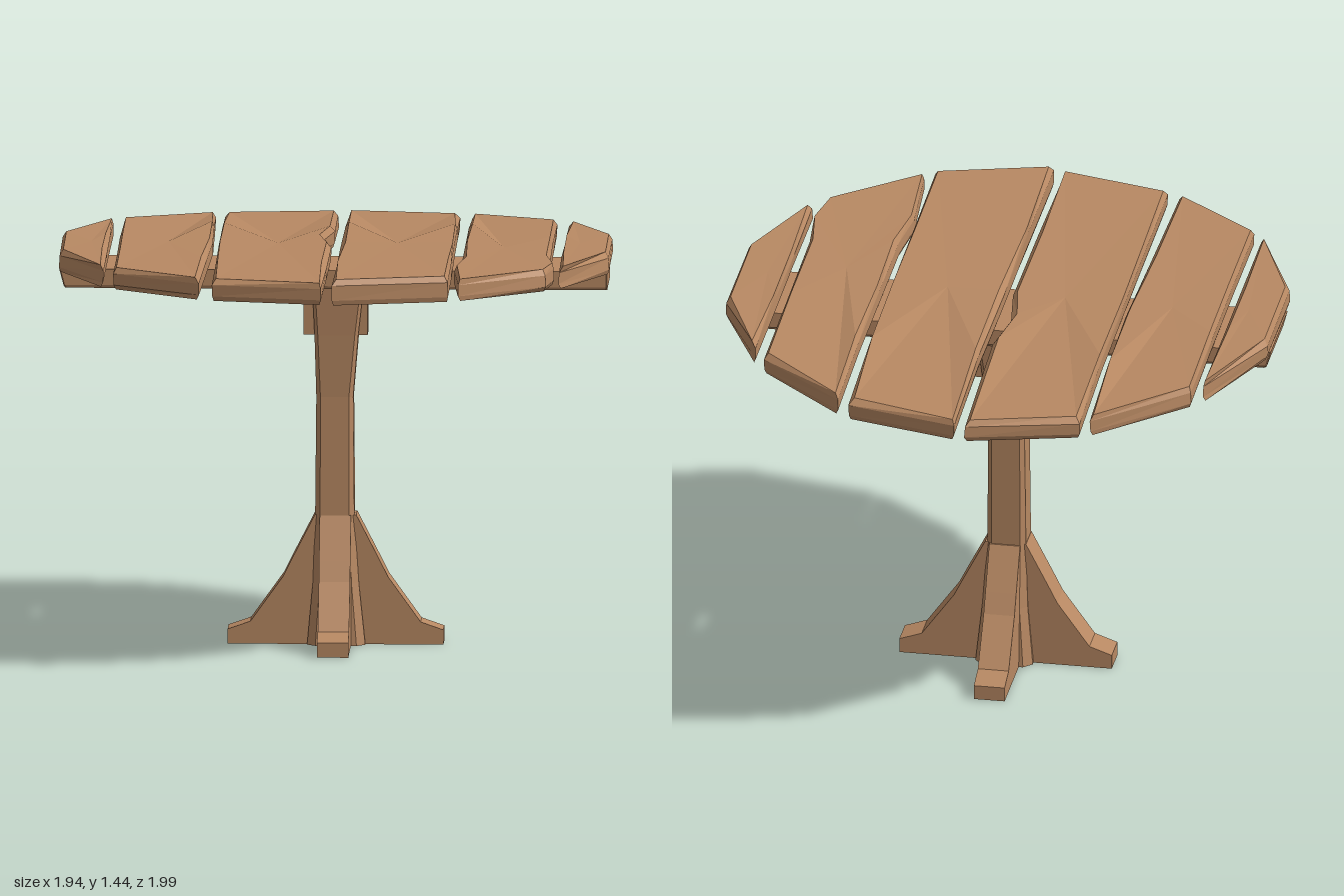
import * as THREE from 'three';

const wood = new THREE.MeshStandardMaterial({ color: 0xb88963, flatShading: true });
wood.name = 'wood';

let seed = 7;
const rand = () => (seed = (seed * 16807) % 2147483647) / 2147483647;

// Closed solid through rings of [x, y, z], bottom to top, anticlockwise from above
function loft(name, rings) {
  const n = rings[0].length, pos = [], idx = [];
  rings.forEach(r => r.forEach(p => pos.push(...p)));
  for (let k = 0; k < rings.length - 1; k++) {
    for (let i = 0; i < n; i++) {
      const j = (i + 1) % n, a = k * n, b = a + n;
      idx.push(a + i, a + j, b + j, a + i, b + j, b + i);
    }
  }
  const cap = (ring, start, up) => {
    const c = pos.length / 3;
    pos.push(...[0, 1, 2].map(d => ring.reduce((s, p) => s + p[d], 0) / n));
    for (let i = 0; i < n; i++) {
      const j = (i + 1) % n;
      idx.push(c, start + (up ? i : j), start + (up ? j : i));
    }
  };
  cap(rings[0], 0, false);
  cap(rings[rings.length - 1], (rings.length - 1) * n, true);
  const indexed = new THREE.BufferGeometry();
  indexed.setAttribute('position', new THREE.Float32BufferAttribute(pos, 3));
  indexed.setIndex(idx);
  const geo = indexed.toNonIndexed();
  geo.computeVertexNormals();
  const mesh = new THREE.Mesh(geo, wood);
  mesh.name = name;
  return mesh;
}

// Rectangle ring with cut corners
function cutRect(y, x0, x1, z0, z1, c) {
  return [[x0 + c, z1], [x1 - c, z1], [x1, z1 - c], [x1, z0 + c],
    [x1 - c, z0], [x0 + c, z0], [x0, z0 + c], [x0, z1 - c]].map(([x, z]) => [x, y, z]);
}

// Plank from an outline of [x, z], worn along its edges and sagging at the back
function plank(name, outline, lift = 0) {
  const pts = [];
  const src = outline.slice().reverse();
  src.forEach(([x, z], i) => {
    const [u, w] = src[(i + 1) % src.length];
    const steps = Math.max(1, Math.round(Math.hypot(u - x, w - z) / 0.45));
    for (let s = 0; s < steps; s++) pts.push([x + (u - x) * s / steps, z + (w - z) * s / steps]);
  });
  const xs = outline.map(p => p[0]);
  const cx = (Math.min(...xs) + Math.max(...xs)) / 2;
  const sag = z => -0.07 * Math.max(0, -z - 0.5);
  const ring = (y, inset, wear, raise) => pts.map(([x, z]) => {
    const d = inset + wear * rand();
    return [x - Math.sign(x - cx) * d, y + sag(z) + raise * Math.max(0, z), z - Math.sign(z) * d * 1.2];
  });
  return loft(name, [
    ring(1.345, 0.006, 0.004, 0),
    ring(1.362, 0, 0.003, 0),
    ring(1.402, 0, 0.004, lift),
    ring(1.423, 0.006, 0.014, lift),
  ]);
}

function box(name, w, h, d, x, y, z) {
  const mesh = new THREE.Mesh(new THREE.BoxGeometry(w, h, d), wood);
  mesh.position.set(x, y, z);
  mesh.name = name;
  return mesh;
}

export function createModel() {
  const table = new THREE.Group();
  table.name = 'roundPlankTable';

  // Tabletop of six planks
  const top = new THREE.Group();
  top.name = 'tabletop';
  top.add(
    plank('outerRightPlank', [[-0.97, -0.24], [-0.8, -0.59], [-0.8, 0.58], [-0.97, 0.22]]),
    plank('middleRightPlank', [[-0.77, -0.64], [-0.45, -0.89], [-0.435, -0.1], [-0.455, 0.87], [-0.765, 0.64]]),
    plank('innerRightPlank', [[-0.42, -0.915], [-0.02, -1], [-0.015, -0.4], [-0.045, -0.2],
      [-0.015, 0], [-0.02, 0.985], [-0.41, 0.9]]),
    plank('innerLeftPlank', [[0.015, -0.995], [0.41, -0.91], [0.425, 0.895], [0.015, 0.995]], 0.013),
    plank('middleLeftPlank', [[0.45, -0.88], [0.76, -0.64], [0.765, 0.3], [0.785, 0.48],
      [0.76, 0.64], [0.455, 0.875], [0.43, 0.55], [0.45, 0.35]]),
    plank('outerLeftPlank', [[0.8, -0.57], [0.97, -0.24], [0.97, 0.22], [0.8, 0.57]]),
  );
  table.add(top);

  // Beam that joins the planks, with slanted ends
  table.add(loft('supportBeam', [
    cutRect(1.28, -0.95, 0.96, -0.165, 0.16, 0.006),
    cutRect(1.29, -0.955, 0.96, -0.172, 0.165, 0.004),
    cutRect(1.347, -0.97, 0.96, -0.172, 0.165, 0.004),
  ]));

  // Mounting plate and the brackets either side of the column
  table.add(box('mountingPlate', 0.44, 0.018, 0.12, 0, 1.272, 0));
  for (const s of [-1, 1]) {
    table.add(box(s > 0 ? 'leftBracket' : 'rightBracket', 0.08, 0.165, 0.105, s * 0.073, 1.183, 0));
  }

  // Hewn column, flared at the foot
  table.add(loft('column', [
    cutRect(0, -0.1, 0.105, -0.1, 0.1, 0.03),
    cutRect(0.22, -0.08, 0.082, -0.085, 0.085, 0.025),
    cutRect(0.46, -0.072, 0.066, -0.068, 0.068, 0.018),
    cutRect(0.88, -0.068, 0.062, -0.07, 0.062, 0.015),
    cutRect(1.1, -0.074, 0.08, -0.078, 0.07, 0.012),
    cutRect(1.28, -0.082, 0.1, -0.088, 0.08, 0.01),
  ]));

  // Four buttress feet
  const profile = new THREE.Shape([[0, 0], [0.38, 0], [0.38, 0.052], [0.3, 0.08], [0.185, 0.24],
    [0.15, 0.31], [0.073, 0.46], [0, 0.46]].map(p => new THREE.Vector2(...p)));
  const footGeo = new THREE.ExtrudeGeometry(profile, { depth: 0.11, bevelEnabled: false });
  footGeo.translate(0, 0, -0.055);
  ['leftFoot', 'backFoot', 'rightFoot', 'frontFoot'].forEach((name, i) => {
    const foot = new THREE.Mesh(footGeo, wood);
    foot.rotation.y = i * Math.PI / 2;
    foot.name = name;
    table.add(foot);
  });

  return table;
}
